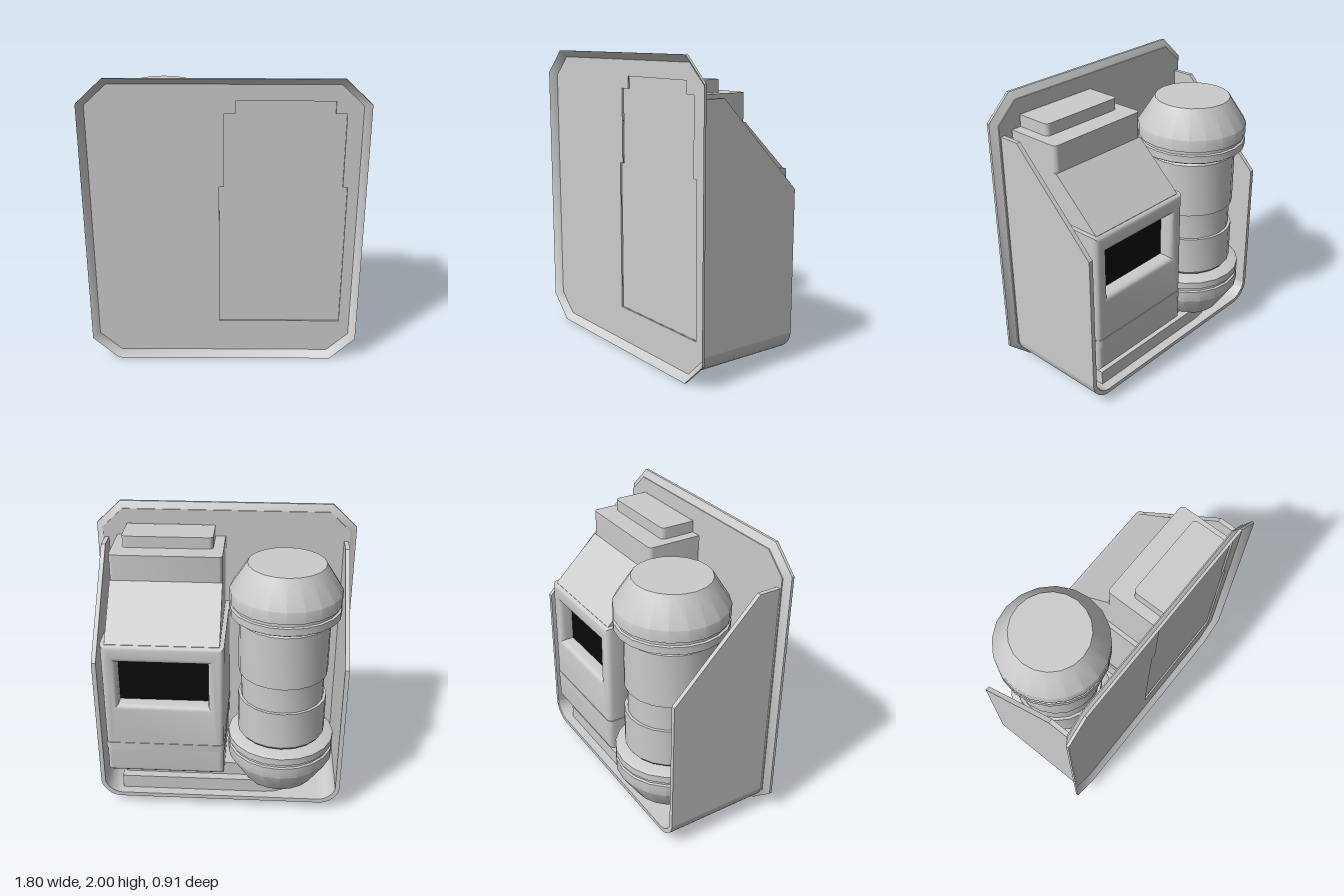
import * as THREE from 'three';
import { toCreasedNormals } from 'three/addons/utils/BufferGeometryUtils.js';

const shell = new THREE.MeshStandardMaterial({ color: 0xcccccc, side: THREE.DoubleSide });
shell.name = 'light grey';
const dark = new THREE.MeshStandardMaterial({ color: 0x0a0a0a });
dark.name = 'black';

const shapeOf = (pts) => new THREE.Shape(pts.map(([x, y]) => new THREE.Vector2(x, y)));
const rect = (x0, x1, y0, y1) => [[x0, y0], [x1, y0], [x1, y1], [x0, y1]];
const extrude = (shape, depth, opts = {}) =>
  new THREE.ExtrudeGeometry(shape, { depth, bevelEnabled: false, curveSegments: 6, ...opts });

// Profile in (z, y), extruded between x0 and x1
const alongX = (pts, x0, x1) =>
  extrude(shapeOf(pts), x1 - x0).rotateY(-Math.PI / 2).translate(x1, 0, 0);

// Block with rounded rear corners, between two heights
function roundedBlock(x0, x1, y0, y1, zBack, zFront, r) {
  const s = new THREE.Shape();
  s.moveTo(x0, -zFront);
  s.lineTo(x1, -zFront);
  s.lineTo(x1, -zBack - r);
  s.absarc(x1 - r, -zBack - r, r, 0, Math.PI / 2, false);
  s.absarc(x0 + r, -zBack - r, r, Math.PI / 2, Math.PI, false);
  s.closePath();
  return extrude(s, y1 - y0).rotateX(-Math.PI / 2).translate(0, y0, 0);
}

// Slot-ended block lying under the box and canister
function slotBlock(x0, x1, y0, y1, zMid, r) {
  const s = new THREE.Shape();
  s.moveTo(x1, -zMid + r);
  s.lineTo(x0 + r, -zMid + r);
  s.absarc(x0 + r, -zMid, r, Math.PI / 2, Math.PI * 1.5, false);
  s.lineTo(x1, -zMid - r);
  s.closePath();
  return extrude(s, y1 - y0).rotateX(-Math.PI / 2).translate(0, y0, 0);
}

// Chamfered plate outline, inset by i
function octagon(i) {
  const X = 0.9 - i, x = 0.73 - i * 0.4, y0 = i, y1 = 2 - i, c = 0.16 + i * 0.4;
  return [[-x, y0], [x, y0], [X, c], [X, 2 - c], [x, y1], [-x, y1], [-X, 2 - c], [-X, c]];
}

// Loft through octagons given as [inset, z]
function octagonLoft(rings) {
  const pos = [], idx = [];
  for (const [i, z] of rings) for (const [x, y] of octagon(i)) pos.push(x, y, z);
  for (let r = 0; r < rings.length - 1; r++) {
    for (let k = 0; k < 8; k++) {
      const a = r * 8 + k, b = r * 8 + (k + 1) % 8;
      idx.push(a, b, b + 8, a, b + 8, a + 8);
    }
  }
  const g = new THREE.BufferGeometry();
  g.setAttribute('position', new THREE.Float32BufferAttribute(pos, 3));
  g.setIndex(idx);
  return g;
}

export function createModel() {
  const model = new THREE.Group();
  const add = (name, geometry, material = shell, parent = model) => {
    const mesh = new THREE.Mesh(toCreasedNormals(geometry, 0.6), material);
    mesh.name = name;
    parent.add(mesh);
    return mesh;
  };

  // Mounting plate: dished rim and panel with a shallow opening behind the box
  add('plateRim', octagonLoft([[0.05, 0.405], [0, 0.437], [0, 0.455], [0.045, 0.412]]));
  const panel = shapeOf(octagon(0.045));
  panel.holes.push(shapeOf([
    [-0.03, 0.28], [0.785, 0.28], [0.785, 1.28], [0.755, 1.28], [0.755, 1.77], [0.685, 1.77],
    [0.685, 1.85], [0.07, 1.85], [0.07, 1.77], [0, 1.77], [0, 1.28], [-0.03, 1.28],
  ]));
  add('platePanel', extrude(panel, 0.011).translate(0, 0, 0.401));

  // Surrounding tray: two cut-away side walls and a rounded floor
  const wall = [[0.402, 0.19], [0.402, 1.75], [0.257, 1.75], [-0.335, 1.15], [-0.335, 0.19]];
  add('sideWallLeft', alongX(wall, 0.815, 0.845));
  add('sideWallRight', alongX(wall, -0.845, -0.815));
  const floor = new THREE.Shape();
  floor.moveTo(-0.845, 0.19);
  floor.bezierCurveTo(-0.845, 0.13, -0.78, 0.06, -0.71, 0.06);
  floor.lineTo(0.71, 0.06);
  floor.bezierCurveTo(0.78, 0.06, 0.845, 0.13, 0.845, 0.19);
  floor.lineTo(0.815, 0.19);
  floor.bezierCurveTo(0.815, 0.15, 0.76, 0.09, 0.7, 0.09);
  floor.lineTo(-0.7, 0.09);
  floor.bezierCurveTo(-0.76, 0.09, -0.815, 0.15, -0.815, 0.19);
  add('trayFloor', extrude(floor, 0.737).translate(0, 0, -0.335));

  // Box: core, rear shell with window opening, raised band and stepped top
  const box = new THREE.Group();
  box.name = 'box';
  model.add(box);
  add('boxCore', extrude(shapeOf(rect(-0.03, 0.785, 0.28, 1.28)), 0.63).translate(0, 0, -0.23), shell, box);
  const b = 0.035;
  const rear = shapeOf(rect(-0.03 + b, 0.785 - b, 0.28 + b, 1.28 - b));
  rear.holes.push(shapeOf(rect(0.04, 0.72, 0.79, 1.19)));
  add('boxRear', extrude(rear, 0.115, {
    bevelEnabled: true, bevelSize: b, bevelThickness: b, bevelSegments: 3,
  }).translate(0, 0, -0.3), shell, box);
  add('window', new THREE.BoxGeometry(0.61, 0.33, 0.008).translate(0.38, 0.99, -0.234), dark, box);
  add('boxBand', roundedBlock(-0.034, 0.789, 0.47, 0.525, -0.339, 0.39, 0.04), shell, box);
  add('slopedTop', alongX([
    [0.4, 1.2], [0.4, 1.59], [0.015, 1.59], [-0.31, 1.28], [-0.31, 1.2],
  ], 0, 0.755), shell, box);
  add('upperStep', roundedBlock(0, 0.755, 1.58, 1.77, 0.015, 0.4, 0.03), shell, box);
  add('topStep', roundedBlock(0.07, 0.685, 1.76, 1.85, 0.155, 0.4, 0.03), shell, box);

  // Base duct joining box and canister
  add('ductLower', slotBlock(-0.6, 0.7, 0.08, 0.19, 0.015, 0.285));
  add('ductUpper', slotBlock(-0.54, 0.68, 0.18, 0.29, 0.015, 0.225));

  // Canister: half profile mirrored about mid height
  const half = [
    [0, 0.81], [0.255, 0.81], [0.37, 0.63], [0.37, 0.55], [0.355, 0.545], [0.355, 0.525],
    [0.37, 0.52], [0.37, 0.47], [0.355, 0.46], [0.19, 0.455], [0.19, 0.44], [0.29, 0.44],
    [0.305, 0.42],
  ];
  const profile = [
    ...half.map(([r, y]) => [r, 0.98 - y]),
    [0.305, 0.83], [0.285, 0.83], [0.285, 1.02], [0.305, 1.02],
    ...half.map(([r, y]) => [r, 0.98 + y]).reverse(),
  ].map(([r, y]) => new THREE.Vector2(r, y));
  add('canister', new THREE.LatheGeometry(profile, 20).translate(-0.42, 0, -0.085));

  return model;
}
